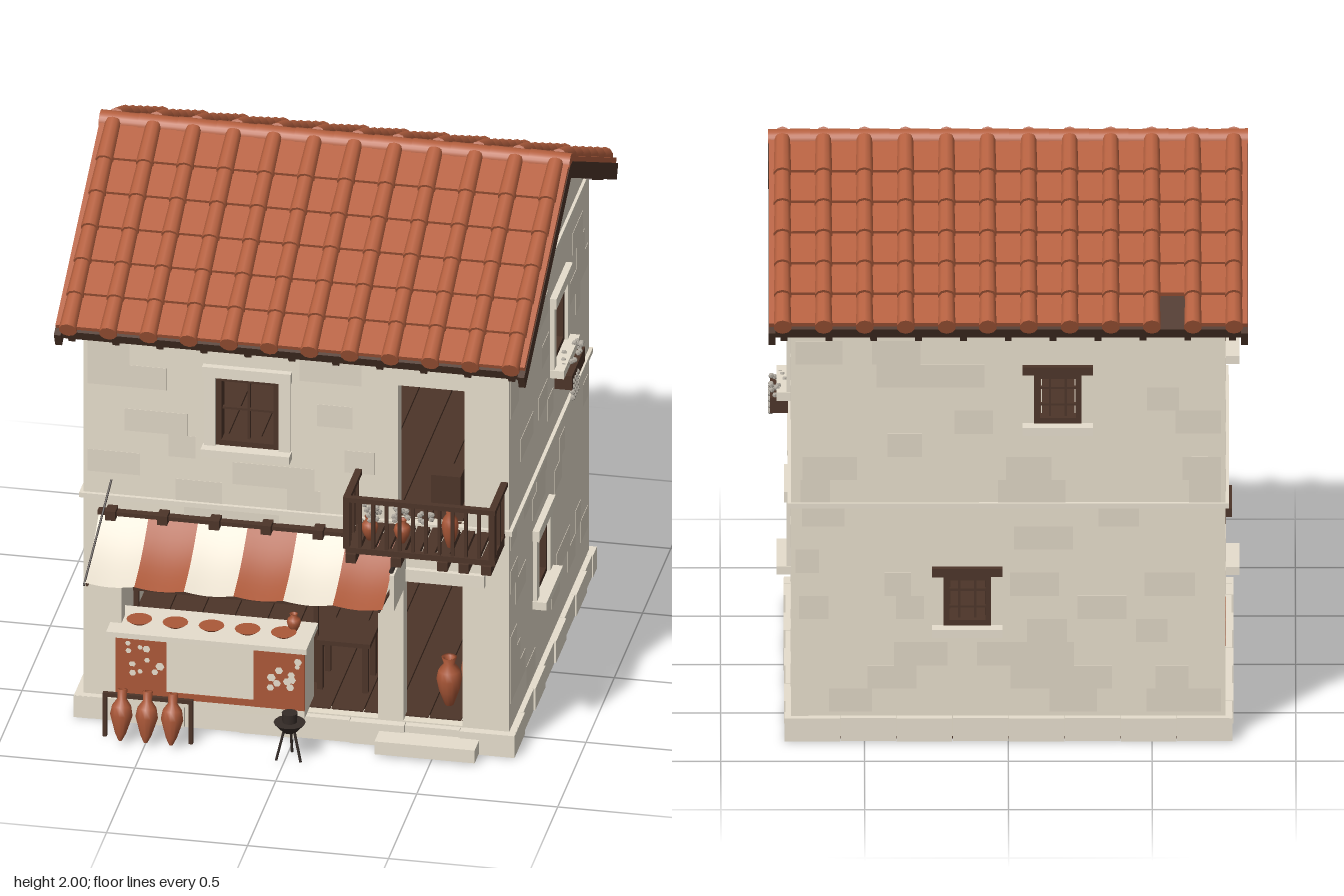
import * as THREE from 'three';

const M = (name, color, double) => {
  const m = new THREE.MeshStandardMaterial({ color });
  m.name = name;
  if (double) m.side = THREE.DoubleSide;
  return m;
};

export function createModel() {
  const house = new THREE.Group();
  house.name = 'house';
  const wall = M('plaster', 0xe6ddcb), patch = M('wornPlaster', 0xded5c4), stone = M('stone', 0xe6decd);
  const roof = M('roofTile', 0xb5603f), clay = M('clay', 0xab5838, true), wood = M('wood', 0x4d3529);
  const cloth = M('cloth', 0xe8dfce, true), plant = M('plant', 0xaca69c), iron = M('iron', 0x352c28);

  const add = (parent, name, geo, mat, x = 0, y = 0, z = 0) => {
    const m = new THREE.Mesh(geo, mat);
    m.name = name;
    m.position.set(x, y, z);
    parent.add(m);
    return m;
  };
  const group = (name, parent = house) => {
    const g = new THREE.Group();
    g.name = name;
    parent.add(g);
    return g;
  };
  // box given by its minimum and maximum on each axis
  const box = (p, name, mat, x0, x1, y0, y1, z0, z1) =>
    add(p, name, new THREE.BoxGeometry(x1 - x0, y1 - y0, z1 - z0), mat, (x0 + x1) / 2, (y0 + y1) / 2, (z0 + z1) / 2);
  const rod = (p, name, mat, a, b, r) => {
    const A = new THREE.Vector3(...a), B = new THREE.Vector3(...b), d = B.clone().sub(A);
    const m = add(p, name, new THREE.CylinderGeometry(r, r, d.length(), 6), mat);
    m.position.copy(A).add(B).multiplyScalar(0.5);
    m.quaternion.setFromUnitVectors(new THREE.Vector3(0, 1, 0), d.normalize());
    return m;
  };
  let seed = 7;
  const rnd = () => (seed = (seed * 16807) % 2147483647) / 2147483647;

  // walls with openings [u0, u1, y0, y1]; u runs along the wall, side walls use u = -z
  const openings = {
    front: [[-0.62, 0.29, 0.09, 0.68], [0.38, 0.59, 0.09, 0.645], [-0.285, -0.06, 1.105, 1.375], [0.36, 0.596, 0.86, 1.4]],
    back: [[-0.255, -0.09, 1.165, 1.35], [0.06, 0.225, 0.42, 0.605]],
    right: [[0.127, 0.324, 1.135, 1.375], [-0.18, 0.02, 0.385, 0.62]],
    left: [[-0.13, 0.035, 1.165, 1.35], [-0.035, 0.13, 0.42, 0.605]],
  };
  const walls = group('walls');
  const makeWall = (name, outline, holes) => {
    const s = new THREE.Shape(outline.map(p => new THREE.Vector2(...p)));
    for (const [a, b, c, d] of holes)
      s.holes.push(new THREE.Path([[a, c], [a, d], [b, d], [b, c]].map(p => new THREE.Vector2(...p))));
    return add(walls, name, new THREE.ExtrudeGeometry(s, { depth: 0.06, bevelEnabled: false }), wall);
  };
  const flat = [[-0.754, 0.01], [0.754, 0.01], [0.754, 1.54], [-0.754, 1.54]];
  const gable = [[-0.637, 0.01], [0.77, 0.01], [0.77, 1.55], [0.065, 1.915], [-0.637, 1.55]];
  makeWall('frontWall', flat, openings.front).position.z = 0.576;
  makeWall('backWall', flat, openings.back).position.z = -0.769;
  for (const [name, x] of [['right', 0.695], ['left', -0.755]]) {
    const w = makeWall(name + 'Wall', gable, openings[name]);
    w.rotation.y = Math.PI / 2;
    w.position.x = x;
  }

  // faint worn blocks in the plaster
  const place = { front: u => [u, 0.636, 0], back: u => [u, -0.769, 0], right: u => [0.755, -u, 1], left: u => [-0.755, -u, 1] };
  for (const side in place) {
    const [lo, hi] = side === 'front' || side === 'back' ? [-0.74, 0.74] : [-0.62, 0.75];
    for (let y = 0.1; y < 1.45; y += 0.0855)
      for (let u = lo; u < hi - 0.08;) {
        const w = Math.min(0.09 + 0.1 * rnd(), hi - u), a = u, b = u + w;
        u = b;
        const blocked = openings[side].some(o => a < o[1] + 0.04 && b > o[0] - 0.04 && y < o[3] + 0.04 && y + 0.085 > o[2] - 0.04);
        if (rnd() > 0.25 || blocked) continue;
        const [x, z, turned] = place[side]((a + b) / 2);
        add(walls, 'wornBlock', new THREE.BoxGeometry(turned ? 0.003 : w, 0.0855, turned ? w : 0.003), patch, x, y + 0.043, z);
      }
  }

  // plinth blocks, ledges and floors
  const base = group('base');
  for (let i = 0; i < 8; i++) {
    const x = -0.78 + i * 0.195, z = -0.795 + i * 0.1825, t = 0.006 * (i % 2);
    box(base, 'frontPlinthBlock', stone, x, x + 0.193, 0, 0.085, 0.6, 0.662 + t);
    box(base, 'backPlinthBlock', stone, x, x + 0.193, 0, 0.085, -0.794 - t, -0.73);
    box(base, 'rightPlinthBlock', stone, 0.72, 0.774 + t, 0, 0.084, z, z + 0.181);
    box(base, 'leftPlinthBlock', stone, -0.778 - t, -0.72, 0, 0.084, z, z + 0.181);
  }
  box(base, 'underside', wood, -0.75, 0.75, -0.001, 0.05, -0.765, 0.632);
  box(base, 'doorStep', stone, 0.3, 0.655, 0.008, 0.058, 0.66, 0.75);
  for (let i = 0; i < 12; i++) {
    const x = -0.695 + i * 0.116;
    box(base, 'groundPlank', wood, x, x + 0.112, 0.05, 0.095, -0.71, 0.6);
    box(base, 'upperPlank', wood, x, x + 0.112, 0.835, 0.86, -0.71, 0.6);
  }
  for (const [z0, z1] of [[0.63, 0.65], [-0.783, -0.76]]) box(walls, 'ledge', stone, -0.768, 0.768, 0.855, 0.873, z0, z1);
  for (const x of [-0.759, 0.759]) {
    box(walls, 'ledge', stone, x - 0.009, x + 0.009, 0.855, 0.873, -0.783, 0.65);
    box(walls, 'gableLedge', stone, x - 0.007, x + 0.007, 1.56, 1.585, -0.72, 0.59);
  }

  // windows, built facing +z and then turned onto their wall
  const makeWindow = (name, w, y0, y1, cols, rows, grand, x, z, turn) => {
    const g = group(name), h = w / 2, f = 0.02;
    g.position.set(x, 0, z);
    g.rotation.y = turn;
    for (const s of [-1, 1]) {
      box(g, 'frameSide', wood, s * (h - f / 2) - f / 2, s * (h - f / 2) + f / 2, y0, y1, -0.05, 0.003);
      if (grand) box(g, 'stoneJamb', stone, s * (h + 0.02) - 0.02, s * (h + 0.02) + 0.02, y0, y1, -0.01, 0.015);
    }
    box(g, 'frameTop', wood, -h, h, y1 - f, y1, -0.05, 0.003);
    box(g, 'frameBottom', wood, -h, h, y0, y0 + f, -0.05, 0.003);
    for (let i = 1; i < cols; i++) box(g, 'bar', wood, -h + w * i / cols - 0.004, -h + w * i / cols + 0.004, y0, y1, -0.035, -0.02);
    for (let i = 1; i < rows; i++) {
      const y = y0 + (y1 - y0) * i / rows;
      box(g, 'crossBar', wood, -h, h, y - 0.004, y + 0.004, -0.035, -0.02);
    }
    const e = grand ? 0.045 : 0.04;
    box(g, 'lintel', grand ? stone : wood, -h - e, h + e, y1, y1 + (grand ? 0.04 : 0.03), -0.01, 0.024);
    box(g, 'sill', stone, -h - e, h + e, y0 - 0.03, y0, -0.01, 0.05);
  };
  const q = Math.PI / 2;
  makeWindow('frontWindow', 0.225, 1.105, 1.375, 2, 2, true, -0.1725, 0.637, 0);
  makeWindow('rightUpperWindow', 0.197, 1.135, 1.375, 2, 1, true, 0.755, -0.2255, q);
  makeWindow('rightLowerWindow', 0.2, 0.385, 0.62, 2, 1, true, 0.755, 0.08, q);
  makeWindow('backUpperWindow', 0.165, 1.165, 1.35, 3, 3, false, -0.1725, -0.77, 2 * q);
  makeWindow('backLowerWindow', 0.165, 0.42, 0.605, 3, 3, false, 0.1425, -0.77, 2 * q);
  makeWindow('leftUpperWindow', 0.165, 1.165, 1.35, 3, 3, false, -0.755, 0.0475, -q);
  makeWindow('leftLowerWindow', 0.165, 0.42, 0.605, 3, 3, false, -0.755, -0.0475, -q);
  box(walls, 'doorLintel', stone, 0.31, 0.67, 0.645, 0.692, 0.63, 0.655);
  for (let r = 0; r < 4; r++) for (let c = 0; c < 3; c++) {
    const z = -0.4 + c * 0.05 + (r % 2) * 0.02;
    box(walls, 'exposedBrick', clay, -0.758, -0.75, 0.21 + r * 0.032, 0.238 + r * 0.032, z, z + 0.045);
  }

  // roof: one slope built pointing downhill along +z, then repeated for the back
  const cols = 12, step = 0.1427, rowLen = 0.146, panEnd = 0.912;
  const pan = new THREE.BoxGeometry(step - 0.003, 0.016, rowLen + 0.03);
  const cap = new THREE.CylinderGeometry(0.032, 0.028, rowLen + 0.03, 10).rotateX(q);
  for (const s of [0, 1]) {
    const g = group(s ? 'backRoof' : 'frontRoof');
    g.position.set(0, 1.968, -0.065);
    g.rotation.set(0.475, s * Math.PI, 0, 'YXZ');
    box(g, 'roofBoard', wood, -0.815, 0.815, -0.04, 0, 0, 0.915);
    for (const e of [-1, 1]) box(g, 'rakeBoard', wood, e * 0.822 - 0.012, e * 0.822 + 0.012, -0.056, 0.002, 0, 0.935);
    for (let i = -5; i <= 5; i++) box(g, 'rafter', wood, i * 0.156 - 0.012, i * 0.156 + 0.012, -0.062, -0.035, 0.68, 0.91);
    for (let r = 0; r < 6; r++) {
      const z = panEnd - (r + 0.5) * rowLen - 0.015;
      for (let c = 0; c < cols; c++) {
        const x = (c - (cols - 1) / 2) * step;
        add(g, 'capTile', cap, roof, x, 0.018, z + 0.012).rotation.x = -0.05;
        const lost = s && r === 0 && c === 9;
        if (c < cols - 1 && !lost) add(g, 'panTile', pan, roof, x + step / 2, 0.014, z).rotation.x = -0.08;
      }
      for (const e of [-1, 1]) box(g, 'edgeTile', roof, e * 0.81 - 0.022, e * 0.81 + 0.022, 0, 0.02, z - 0.08, z + 0.08);
    }
  }
  // ridge tiles are half rounds with the open side down
  const ridge = new THREE.CylinderGeometry(0.04, 0.037, 0.146, 12, 1, false, 0, Math.PI).rotateZ(q);
  for (let i = 0; i < cols; i++) add(house, 'ridgeTile', ridge, roof, (i - 5.5) * 0.1385, 1.96, -0.065);

  // pots and plants
  const jarProfile = [[0, 0], [0.35, 0], [0.8, 0.3], [1, 0.55], [0.85, 0.72], [0.42, 0.86], [0.6, 1], [0.4, 0.98], [0.3, 0.86]];
  const pot = (p, name, x, y, z, r, h, mat = clay) =>
    add(p, name, new THREE.LatheGeometry(jarProfile.map(([a, b]) => new THREE.Vector2(a * r, b * h)), 14), mat, x, y, z);
  const leaf = new THREE.IcosahedronGeometry(0.011, 0);
  const leaves = (p, n, x, y, z, dx, dy, dz) => {
    for (let i = 0; i < n; i++) add(p, 'leaf', leaf, plant, x + (rnd() - 0.5) * dx, y + (rnd() - 0.5) * dy, z + (rnd() - 0.5) * dz);
  };

  // flower box under the right window
  const planter = group('planter');
  box(planter, 'planterBox', wood, 0.765, 0.828, 1.05, 1.105, -0.34, -0.11);
  leaves(planter, 26, 0.8, 1.12, -0.225, 0.05, 0.04, 0.2);
  for (let i = 0; i < 4; i++) for (let k = 0; k < 4; k++) add(planter, 'hangingLeaf', leaf, plant, 0.826, 1.075 - k * 0.022, -0.135 - i * 0.025);

  // balcony with a slatted deck
  const balcony = group('balcony');
  for (let i = 0; i < 10; i++) box(balcony, 'deckSlat', wood, 0.222 + i * 0.0529, 0.266 + i * 0.0529, 0.846, 0.864, 0.637, 0.86);
  box(balcony, 'deckEdge', wood, 0.22, 0.75, 0.844, 0.866, 0.84, 0.862);
  for (const x of [0.24, 0.4, 0.565, 0.64, 0.72]) box(balcony, 'joist', wood, x - 0.018, x + 0.018, 0.812, 0.846, 0.63, 0.874);
  box(balcony, 'frontRail', wood, 0.21, 0.75, 1.042, 1.06, 0.84, 0.862);
  for (const x of [0.222, 0.738]) {
    box(balcony, 'sideRail', wood, x - 0.012, x + 0.012, 1.042, 1.06, 0.637, 0.86);
    for (const z of [0.67, 0.735, 0.8]) box(balcony, 'baluster', wood, x - 0.006, x + 0.006, 0.86, 1.05, z - 0.006, z + 0.006);
  }
  for (let i = 0; i < 12; i++) {
    const x = 0.222 + i * 0.0469, t = i % 11 ? 0.006 : 0.011;
    box(balcony, 'baluster', wood, x - t, x + t, 0.86, 1.05, 0.851 - t, 0.851 + t);
  }
  for (const x of [0.29, 0.405]) {
    pot(balcony, 'flowerPot', x, 0.866, 0.785, 0.03, 0.09);
    leaves(balcony, 16, x, 0.975, 0.785, 0.06, 0.05, 0.06);
  }
  pot(balcony, 'tallJar', 0.575, 0.866, 0.785, 0.03, 0.15);
  leaves(balcony, 8, 0.49, 0.97, 0.785, 0.05, 0.05, 0.05);
  box(balcony, 'crate', wood, 0.45, 0.555, 0.86, 0.99, 0.4, 0.5);

  // striped awning with its beam and stays
  const awning = group('awning');
  for (let i = 0; i < 6; i++) {
    const geo = new THREE.PlaneGeometry(0.176, 1, 6, 8), p = geo.attributes.position;
    for (let k = 0; k < p.count; k++) {
      const t = 0.5 - p.getY(k), u = p.getX(k) / 0.176;
      p.setXYZ(k, p.getX(k), 0.805 - 0.15 * t - 0.02 * Math.sin(Math.PI * t) - 0.01 * t * Math.cos(u * Math.PI), 0.64 + 0.262 * t);
    }
    geo.computeVertexNormals();
    add(awning, 'stripe', geo, i % 2 ? clay : cloth, -0.61 + i * 0.176);
    const x = -0.65 + i * 0.184;
    box(awning, 'beamEnd', wood, x - 0.018, x + 0.018, 0.795, 0.83, 0.63, 0.69);
  }
  box(awning, 'wallBeam', wood, -0.7, 0.39, 0.802, 0.817, 0.635, 0.665);
  rod(awning, 'leftStay', iron, [-0.7, 0.645, 0.905], [-0.655, 0.93, 0.64], 0.004);
  for (const x of [-0.69, 0.345]) rod(awning, 'strut', wood, [x, 0.645, 0.9], [x, 0.62, 0.64], 0.005);

  // hanging board beside the door
  const board = group('hangingBoard');
  box(board, 'panel', stone, 0.375, 0.391, 0.63, 0.77, 0.65, 0.86);
  rod(board, 'arm', iron, [0.383, 0.79, 0.63], [0.383, 0.79, 0.87], 0.008);
  rod(board, 'brace', iron, [0.383, 0.86, 0.64], [0.383, 0.79, 0.82], 0.005);

  // shop counter with tiled panels
  const shop = group('shop');
  box(shop, 'counterBody', wall, -0.63, 0.04, 0.09, 0.35, 0.52, 0.688);
  box(shop, 'counterTop', stone, -0.66, 0.05, 0.35, 0.37, 0.5, 0.71);
  for (const x of [-0.63, -0.14]) {
    box(shop, 'clayPanel', clay, x, x + 0.18, 0.12, 0.35, 0.685, 0.692);
    for (let i = 0; i < 11; i++)
      add(shop, 'chip', new THREE.CircleGeometry(0.008 + 0.009 * rnd(), 6), cloth, x + 0.02 + 0.14 * rnd(), 0.2 + 0.13 * rnd(), 0.6935);
  }
  box(shop, 'clayStrip', clay, -0.45, -0.14, 0.12, 0.145, 0.685, 0.691);
  for (let i = 0; i < 5; i++) add(shop, 'dish', new THREE.CylinderGeometry(0.045, 0.025, 0.014, 14), clay, -0.56 + i * 0.128, 0.378, 0.62);
  pot(shop, 'counterJug', -0.02, 0.37, 0.58, 0.025, 0.07);
  for (const y of [0.41, 0.55]) {
    box(shop, 'shelf', wood, -0.615, 0.03, y, y + 0.015, 0.36, 0.46);
    for (const x of [-0.44, -0.245, -0.055]) pot(shop, 'shelfPot', x, y + 0.015, 0.41, 0.022, 0.058);
    for (const x of [-0.56, -0.35, -0.15]) add(shop, 'plate', new THREE.CylinderGeometry(0.03, 0.018, 0.01, 12), clay, x, y + 0.02, 0.41);
  }
  for (const x of [-0.612, 0.025]) box(shop, 'shelfPost', wood, x - 0.008, x + 0.008, 0.09, 0.565, 0.4, 0.42);
  for (const x of [-0.385, 0.04]) for (let k = 0; k < 10; k++) add(shop, 'garland', leaf, plant, x + 0.008 * (k % 2 ? 1 : -1), 0.65 - k * 0.012, 0.663);
  box(shop, 'tableTop', wood, 0.04, 0.23, 0.275, 0.292, 0.3, 0.48);
  for (const x of [0.05, 0.21]) for (const z of [0.31, 0.45]) box(shop, 'tableLeg', wood, x - 0.01, x + 0.01, 0.09, 0.28, z, z + 0.02);
  box(shop, 'wallShelf', wood, -0.695, -0.64, 0.468, 0.48, 0, 0.1);
  pot(shop, 'vase', -0.665, 0.48, 0.04, 0.022, 0.045, plant);
  pot(shop, 'doorJar', 0.515, 0.1, 0.5, 0.045, 0.185);
  pot(shop, 'doorJar', 0.585, 0.1, 0.44, 0.04, 0.21);

  // rack of pointed jars in front of the counter
  const rack = group('jarRack');
  const pointed = [[0.15, 0], [0.5, 0.15], [1, 0.5], [0.85, 0.68], [0.4, 0.82], [0.45, 1], [0.3, 1]];
  for (let i = 0; i < 3; i++)
    add(rack, 'pointedJar', new THREE.LatheGeometry(pointed.map(([r, y]) => new THREE.Vector2(r * 0.04, y * 0.185)), 12), clay, -0.585 + i * 0.09, 0.015, 0.835).rotation.x = -0.22;
  for (const x of [-0.65, -0.345]) box(rack, 'rackPost', wood, x - 0.007, x + 0.007, 0, 0.17, 0.773, 0.787);
  box(rack, 'backBar', wood, -0.655, -0.34, 0.155, 0.17, 0.772, 0.786);

  // brazier on three legs
  const brazier = group('brazier');
  brazier.position.set(0.015, 0, 0.83);
  add(brazier, 'bowl', new THREE.CylinderGeometry(0.056, 0.025, 0.035, 14), iron, 0, 0.128, 0);
  add(brazier, 'cookingPot', new THREE.CylinderGeometry(0.028, 0.026, 0.035, 12), iron, 0, 0.165, 0);
  for (let i = 0; i < 3; i++) {
    const a = i * 2.094 + 0.5;
    rod(brazier, 'leg', iron, [0.02 * Math.cos(a), 0.12, 0.02 * Math.sin(a)], [0.05 * Math.cos(a), 0.005, 0.05 * Math.sin(a)], 0.005);
  }
  return house;
}
